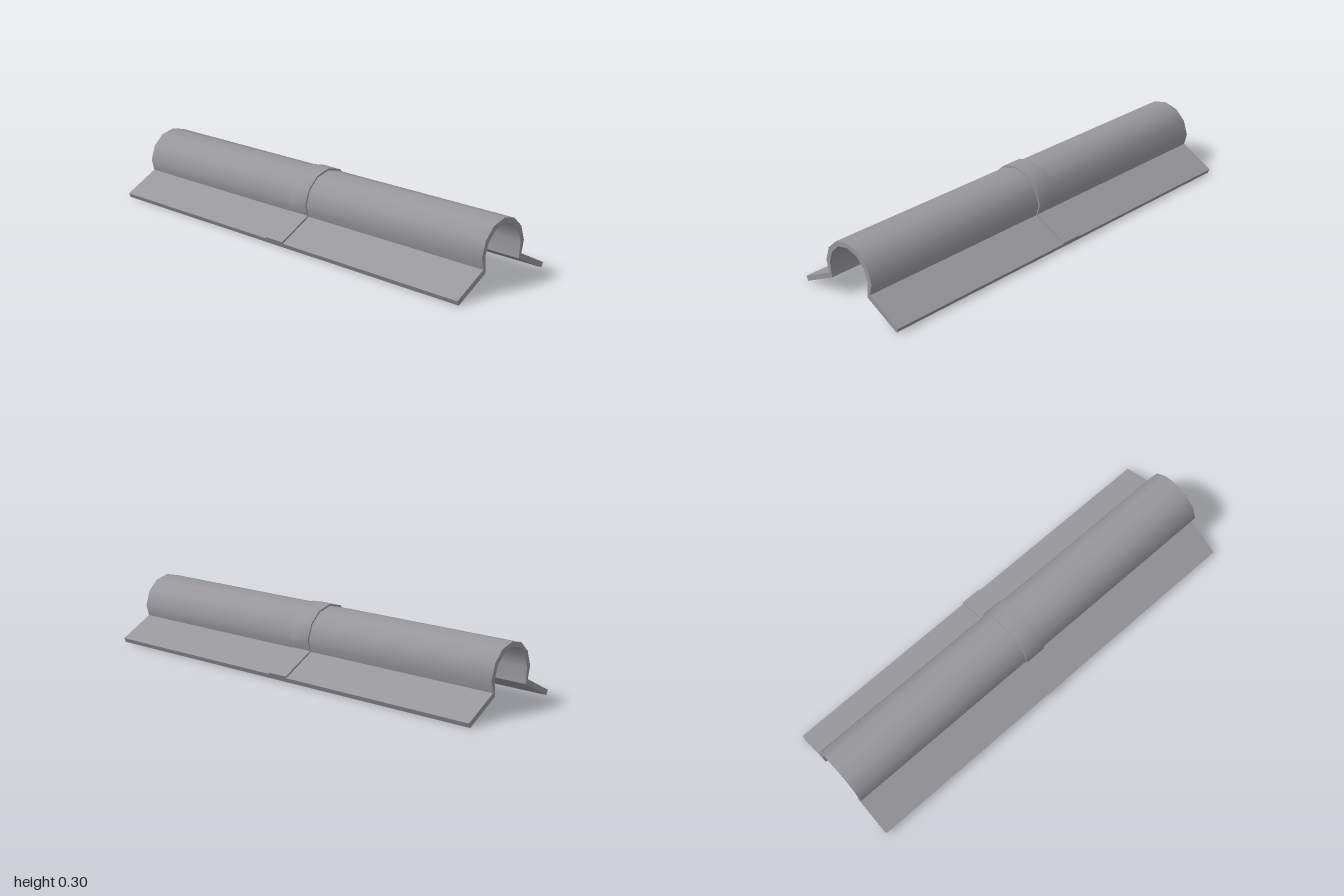
import * as THREE from 'three';
import { toCreasedNormals } from 'three/addons/utils/BufferGeometryUtils.js';

// Half cross-sections as [z, y], from the crown down to the flange edge
const INNER = [[0, 0.269], [0.057, 0.255], [0.1, 0.214], [0.12, 0.16], [0.113, 0.088], [0.283, 0.001]];
const OUTER = [[0, 0.291], [0.069, 0.274], [0.12, 0.227], [0.143, 0.16], [0.129, 0.106], [0.293, 0.022]];
const RAISED = [[0, 0.3], [0.072, 0.281], [0.126, 0.232], [0.151, 0.161], [0.135, 0.111], [0.297, 0.03]];

// Mirror a half section into a full line running from -z to +z
const mirrored = (half) => [
  ...half.slice(1).reverse().map(([z, y]) => [-z, y]),
  ...half,
];

// Closed shell between two lines, swept along x and centred
function sweep(name, inner, outer, length, material) {
  const points = [...mirrored(inner), ...mirrored(outer).reverse()];
  const shape = new THREE.Shape(points.map(([z, y]) => new THREE.Vector2(z, y)));
  const geometry = new THREE.ExtrudeGeometry(shape, { depth: length, bevelEnabled: false, steps: 1 });
  geometry.translate(0, 0, -length / 2);
  geometry.rotateY(Math.PI / 2);
  const mesh = new THREE.Mesh(toCreasedNormals(geometry, 0.8), material);
  mesh.name = name;
  return mesh;
}

export function createModel() {
  const group = new THREE.Group();
  group.name = 'ridgeCap';
  const grey = new THREE.MeshStandardMaterial({ color: 0x97979c });
  grey.name = 'metal grey';

  // Long arched cap with a sloping flange on each side
  group.add(sweep('ridgeShell', INNER, OUTER, 2, grey));
  // Raised band over the joint in the middle
  group.add(sweep('jointBand', OUTER, RAISED, 0.1, grey));
  return group;
}
